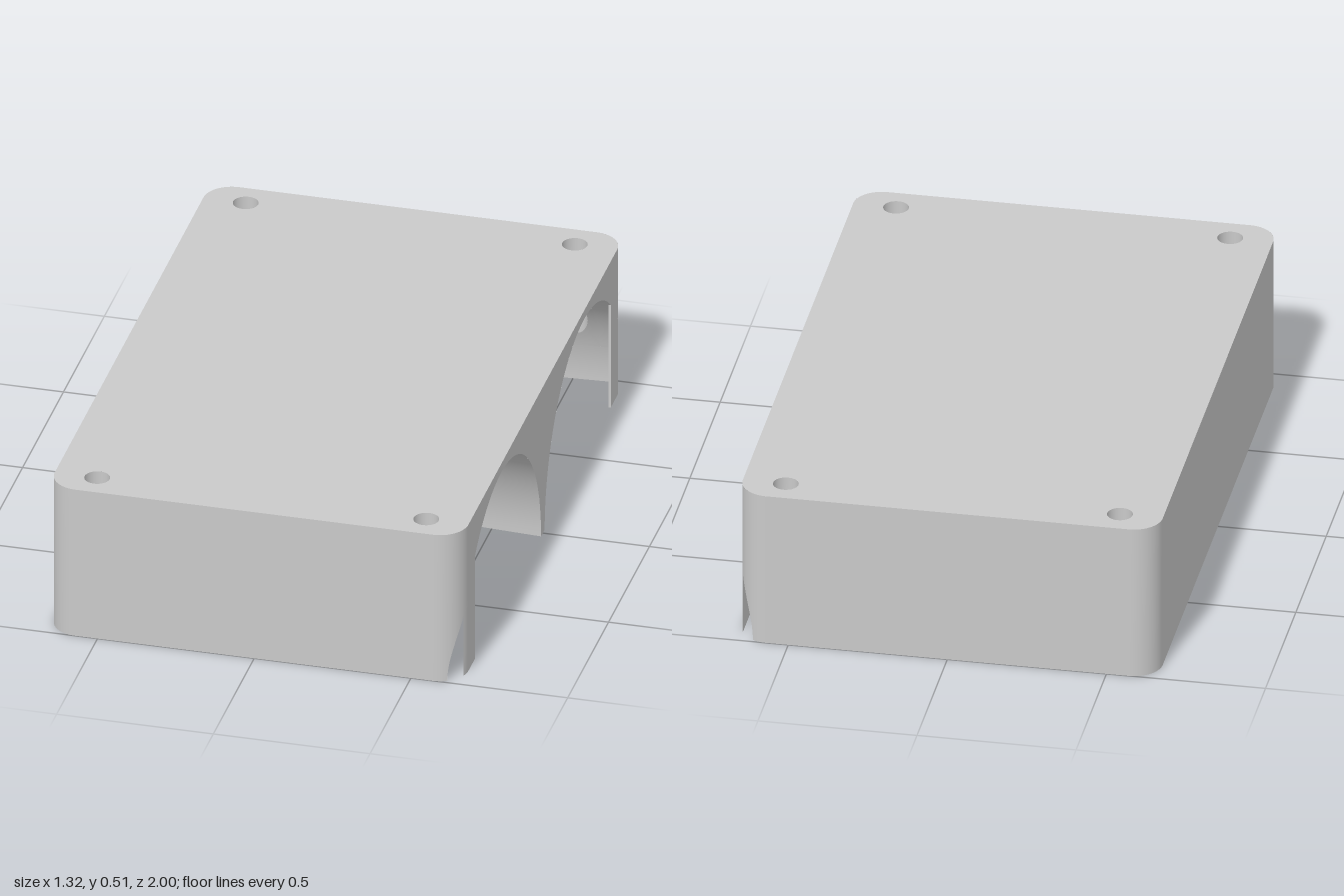
import * as THREE from 'three';

const W = 0.66, L = 1, H = 0.515, RC = 0.09;      // half width, half length, height, corner radius
const X0 = 0.31, DR = 0.485, DT = 0.425;          // turning duct: axis position, ring radius, tube radius
const AR = 0.485, AZ0 = 0.485, AZ1 = 0.507;       // arch radius, centre at the back and at the side face
const HX = 0.525, HZ = 0.908, HR = 0.04;          // screw holes
const CX = W - RC, CZ = L - RC;

export function createModel() {
  const model = new THREE.Group();
  const grey = new THREE.MeshStandardMaterial({ color: 0xc9c9c9, side: THREE.DoubleSide });
  grey.name = 'plain grey';

  const add = (name, geometry) => {
    const mesh = new THREE.Mesh(geometry, grey);
    mesh.name = name;
    model.add(mesh);
  };

  // Smooth surface from a rule f(u, v) -> [x, y, z]
  const grid = (nu, nv, f) => {
    const pos = [], idx = [];
    for (let i = 0; i <= nu; i++)
      for (let j = 0; j <= nv; j++) pos.push(...f(i / nu, j / nv));
    for (let i = 0; i < nu; i++)
      for (let j = 0; j < nv; j++) {
        const a = i * (nv + 1) + j, b = a + nv + 1;
        idx.push(a, b, a + 1, b, b + 1, a + 1);
      }
    const g = new THREE.BufferGeometry();
    g.setAttribute('position', new THREE.Float32BufferAttribute(pos, 3));
    g.setIndex(idx);
    g.computeVertexNormals();
    return g;
  };

  const v2 = (x, y) => new THREE.Vector2(x, y);
  const arc = (cx, cy, r, a0, a1, n) => Array.from({ length: n + 1 }, (_, i) => {
    const a = a0 + (a1 - a0) * i / n;
    return v2(cx + r * Math.cos(a), cy + r * Math.sin(a));
  });
  const P = Math.PI;
  const flat = (shape, y, up) => new THREE.ShapeGeometry(shape, 24).rotateX(up ? -P / 2 : P / 2).translate(0, y, 0);
  const side = (shape, x) => new THREE.ShapeGeometry(shape).rotateY(P / 2).translate(x, 0, 0);
  const hole = (x, z) => new THREE.Path().absarc(x, z, HR, 0, 2 * P, true);

  // Arch tunnels splay slightly outwards from the inner wall to the side face
  const archCentre = (x) => AZ0 + (AZ1 - AZ0) * (x - X0) / (W - X0);
  const arch = (x, t) => [x, AR * Math.sin(t), archCentre(x) + AR * Math.cos(t)];
  const archAngle = (x, z) => Math.acos(Math.min(1, (z - archCentre(x)) / AR));
  const archHeight = (x, z) => AR * Math.sin(archAngle(x, z));
  const outerX = (z) => z <= CZ ? W : CX + Math.sqrt(Math.max(0, RC * RC - (z - CZ) ** 2));
  const outerEdge = (t) => {
    let x = W;
    for (let i = 0; i < 8; i++) x = outerX(arch(x, t)[2]);
    return x;
  };

  // Lid
  const lid = new THREE.Shape([
    ...arc(CX, CZ, RC, 0, P / 2, 12), ...arc(-CX, CZ, RC, P / 2, P, 12),
    ...arc(-CX, -CZ, RC, P, 1.5 * P, 12), ...arc(CX, -CZ, RC, 1.5 * P, 2 * P, 12),
  ]);
  for (const sx of [1, -1]) for (const sz of [1, -1]) lid.holes.push(hole(sx * HX, sz * HZ));
  add('lid', flat(lid, H, true));

  // Plain outer walls
  add('rightWall', grid(1, 1, (u, v) => [-W, H * v, CZ * (2 * u - 1)]));
  for (const s of [1, -1])
    add(s > 0 ? 'frontWall' : 'backWall', grid(1, 1, (u, v) => [CX * (2 * u - 1), H * v, s * L]));

  // Rounded corners, the left ones cut by the arches
  for (const s of [1, -1]) {
    add('plainCorner', grid(14, 1, (u, v) => [
      -CX - RC * Math.cos(u * P / 2), H * v, s * (CZ + RC * Math.sin(u * P / 2))]));
    add('cutCorner', grid(40, 1, (u, v) => {
      const x = CX + RC * Math.cos(u * P / 2), z = CZ + RC * Math.sin(u * P / 2);
      const y = archHeight(x, z);
      return [x, y + (H - y) * v, s * z];
    }));
  }

  // Left face with its two arches
  const leftArc = arc(AZ1, 0, AR, P, archAngle(W, CZ), 48);
  add('archedWall', side(new THREE.Shape([
    v2(CZ, H), v2(-CZ, H),
    ...leftArc.map((p) => v2(-p.x, p.y)).reverse(), ...leftArc,
  ]), W));

  // Underside around the duct, the pier between the arches and the duct's core
  const xr = outerEdge(0), zr = arch(xr, 0)[2];
  const aCut = Math.atan2(zr - CZ, xr - CX);
  const rim = new THREE.Shape([
    ...arc(CX, CZ, RC, aCut, P / 2, 8), ...arc(-CX, CZ, RC, P / 2, P, 12),
    ...arc(-CX, -CZ, RC, P, 1.5 * P, 12), ...arc(CX, -CZ, RC, 1.5 * P, 2 * P - aCut, 8),
    v2(X0, -AZ0 - AR), ...arc(X0, 0, DR + DT, 1.5 * P, P / 2, 64), v2(X0, AZ0 + AR),
  ]);
  for (const s of [1, -1]) rim.holes.push(hole(-HX, s * HZ));
  add('undersideRim', flat(rim, 0, false));
  const pz = AZ1 - AR;
  add('pierFoot', flat(new THREE.Shape([v2(X0, 0), v2(W, -pz), v2(W, pz)]), 0, false));
  add('coreFoot', flat(new THREE.Shape(arc(X0, 0, DR - DT, P / 2, 1.5 * P, 20)), 0, false));

  // Half-ring duct turning from one arch to the other
  add('turningDuct', new THREE.LatheGeometry(arc(DR, 0, DT, 0, P, 40), 64, P, P).translate(X0, 0, 0));

  // Arch tunnels, with a patch around each screw hole
  const tA = 0.27, tB = 0.74, xA = 0.46, xB = 0.59;
  const tm = (tA + tB) / 2, th = (tB - tA) / 2, xh = (xB - xA) / 2;
  for (const s of [1, -1]) {
    const panel = (t0, t1, n, xs, xe) => add('archTunnel', grid(n, 1, (u, v) => {
      const t = t0 + (t1 - t0) * u, a = xs ?? X0, b = xe ?? outerEdge(t);
      const [x, y, z] = arch(a + (b - a) * v, t);
      return [x, y, s * z];
    }));
    panel(0, tA, 10);
    panel(tA, tB, 12, X0, xA);
    panel(tA, tB, 12, xB);
    panel(tB, P, 44);
    add('holePatch', grid(48, 5, (u, v) => {
      const c = Math.cos(u * 2 * P), d = Math.sin(u * 2 * P), m = Math.max(Math.abs(c), Math.abs(d));
      const hx = HX + HR * c, ht = archAngle(hx, HZ + HR * d);
      const ox = HX + xh * c / m, ot = tm - th * d / m;
      const [x, y, z] = arch(hx + (ox - hx) * v, ht + (ot - ht) * v);
      return [x, y, s * z];
    }));

    // Face at the tunnel's end: closed on the inner half, a lip around the duct on the outer half
    add('tunnelEnd', side(new THREE.Shape([
      ...arc(AZ0, 0, AR, P, 0, 48), ...arc(DR, 0, DT, 0, P / 2, 24), v2(DR, 0),
    ].map((p) => v2(s * p.x, p.y))), X0));

    // Thin post beside the arch: outer face, inner face and edge
    const z0 = 0.83, z1 = 0.945, xi = outerX(z1);
    const post = (n, at) => add('post', grid(n, 1, (u, v) => {
      const [x, z] = at(u);
      return [x, archHeight(x, z) * v, s * z];
    }));
    post(16, (u) => [outerX(z0 + (z1 - z0) * u), z0 + (z1 - z0) * u]);
    post(16, (u) => [xi, z0 + (z1 - z0) * u]);
    post(1, (u) => [xi + (W - xi) * u, z0]);

    // Screw hole bores
    for (const sx of [1, -1])
      add('screwHole', grid(32, 1, (u, v) => {
        const x = HX + HR * Math.cos(u * 2 * P), z = HZ + HR * Math.sin(u * 2 * P);
        const y = sx > 0 ? archHeight(x, z) : 0;
        return [sx * x, y + (H - y) * v, s * z];
      }));
  }

  return model;
}
